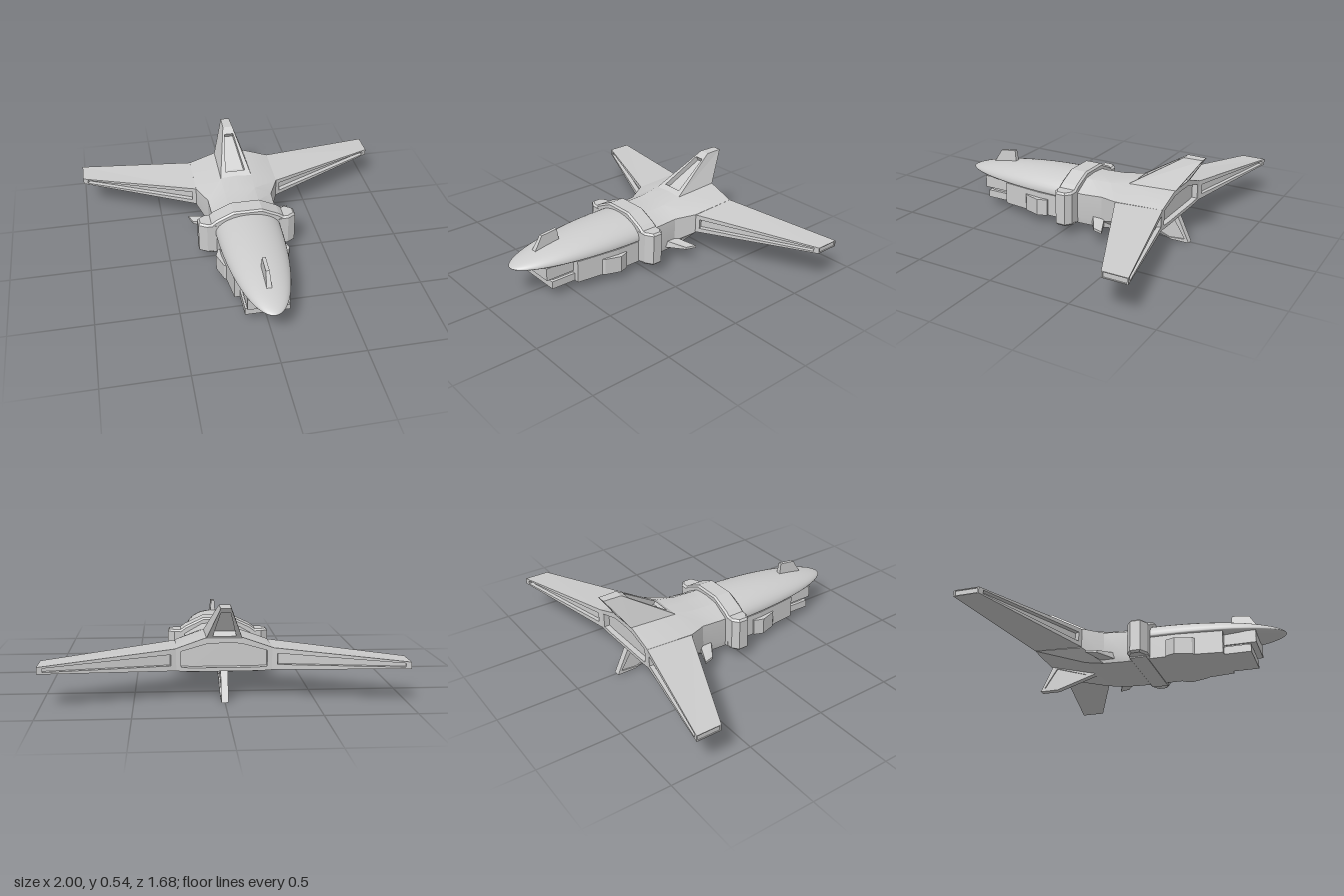
import * as THREE from 'three';
import { toCreasedNormals } from 'three/addons/utils/BufferGeometryUtils.js';
import { ParametricGeometry } from 'three/addons/geometries/ParametricGeometry.js';

const grey = new THREE.MeshStandardMaterial({ color: 0xcccccc, side: THREE.DoubleSide });
const V = (x, y, z) => new THREE.Vector3(x, y, z);

function add(parent, name, geometry) {
  const mesh = new THREE.Mesh(geometry, grey);
  mesh.name = name;
  parent.add(mesh);
  return mesh;
}

function fromTriangles(points) {
  const g = new THREE.BufferGeometry().setFromPoints(points);
  g.computeVertexNormals();
  return g;
}

// Six-sided solid between two quads. Face 0-3: sides, 4: first quad, 5: second quad.
// insets[face] = [u margin, v margin, depth] sinks a framed panel into that face.
function block(A, B, insets = {}) {
  A = A.map(p => V(...p));
  B = B.map(p => V(...p));
  const centre = [...A, ...B].reduce((s, p) => s.add(p), V(0, 0, 0)).divideScalar(8);
  const out = [];
  const quad = (a, b, c, d) => out.push(a, b, c, a, c, d);
  const faces = [0, 1, 2, 3].map(i => [A[i], A[(i + 1) % 4], B[(i + 1) % 4], B[i]]);
  faces.push(A, B);
  faces.forEach((q, f) => {
    let n = q[2].clone().sub(q[0]).cross(q[3].clone().sub(q[1])).normalize();
    const mid = q[0].clone().add(q[1]).add(q[2]).add(q[3]).divideScalar(4);
    const flip = n.dot(mid.sub(centre)) < 0;
    if (flip) n.negate();
    const put = (a, b, c, d) => flip ? quad(d, c, b, a) : quad(a, b, c, d);
    if (!insets[f]) return put(...q);
    const [u, v, depth] = insets[f];
    const at = (s, t) => q[0].clone().lerp(q[1], s).lerp(q[3].clone().lerp(q[2], s), t);
    const rim = [at(u, v), at(1 - u, v), at(1 - u, 1 - v), at(u, 1 - v)];
    const floor = rim.map(p => p.clone().addScaledVector(n, -depth));
    for (let i = 0; i < 4; i++) {
      const j = (i + 1) % 4;
      put(q[i], q[j], rim[j], rim[i]);
      put(rim[i], rim[j], floor[j], floor[i]);
    }
    put(...floor);
  });
  return fromTriangles(out);
}

// Box from its x, y and z ranges
function box(x0, x1, y0, y1, z0, z1) {
  const ring = z => [[x0, y0, z], [x1, y0, z], [x1, y1, z], [x0, y1, z]];
  return block(ring(z0), ring(z1));
}

// Mirrored loft: each section is [z, half outline from top centre to bottom centre], front to back
function loft(sections, crease = 0.4) {
  const rings = sections.map(([z, half]) => [
    ...half.map(([x, y]) => V(x, y, z)),
    ...half.slice(1, -1).reverse().map(([x, y]) => V(-x, y, z)),
  ]);
  const out = [], n = rings[0].length;
  for (let k = 0; k + 1 < rings.length; k++)
    for (let i = 0; i < n; i++) {
      const j = (i + 1) % n, [a, b, c, d] = [rings[k][i], rings[k][j], rings[k + 1][j], rings[k + 1][i]];
      out.push(a, b, c, a, c, d);
    }
  const first = rings[0], last = rings[rings.length - 1];
  for (let i = 1; i + 1 < n; i++) out.push(first[0], first[i + 1], first[i], last[0], last[i], last[i + 1]);
  return toCreasedNormals(fromTriangles(out), crease);
}

// Vertical prism from a plan outline of [x, z] points
function planPrism(outline, y0, y1, bevel = 0) {
  const shape = new THREE.Shape(outline.map(([x, z]) => new THREE.Vector2(x, -z)));
  const g = new THREE.ExtrudeGeometry(shape, {
    depth: y1 - y0 - 2 * bevel, bevelEnabled: bevel > 0, bevelSize: bevel,
    bevelThickness: bevel, bevelOffset: -bevel, bevelSegments: 1,
  });
  return g.rotateX(-Math.PI / 2).translate(0, y0 + bevel, 0);
}

export function createModel() {
  const model = new THREE.Group();
  model.name = 'aircraft';

  // Smooth nose: domed above, shallow below
  add(model, 'nose', new ParametricGeometry((u, v, target) => {
    const t = v * v, r = Math.sqrt(Math.max(0, 1 - (1 - t) ** 2)), a = u * Math.PI * 2;
    const s = Math.sin(a);
    const y = s > 0 ? 0.115 * r ** 1.4 * s : 0.04 * r * s;
    target.set(0.207 * r * Math.cos(a), 0.213 + y, 0.84 - 0.82 * t);
  }, 40, 24));

  // Blade on the nose
  add(model, 'noseBlade', block(
    [[-0.017, 0.25, 0.685], [0.017, 0.25, 0.685], [0.017, 0.27, 0.5], [-0.017, 0.27, 0.5]],
    [[-0.011, 0.354, 0.62], [0.011, 0.354, 0.62], [0.011, 0.366, 0.513], [-0.011, 0.366, 0.513]]));

  // Rear fuselage, flaring into the wing roots, with a hollow tail end
  const tail = [[0, 0.357], [0.105, 0.353], [0.27, 0.295], [0.27, 0.17], [0.2, 0.165], [0, 0.165]];
  const hollow = tail.map(([x, y]) => [x * 0.88, 0.24 + (y - 0.24) * 0.72]);
  add(model, 'rearFuselage', loft([
    [0, [[0, 0.33], [0.1, 0.32], [0.207, 0.255], [0.207, 0.1], [0.2, 0.06], [0, 0.06]]],
    [-0.12, [[0, 0.324], [0.1, 0.316], [0.207, 0.255], [0.207, 0.1], [0.2, 0.06], [0, 0.06]]],
    [-0.25, [[0, 0.328], [0.1, 0.322], [0.21, 0.265], [0.21, 0.11], [0.2, 0.065], [0, 0.065]]],
    [-0.37, [[0, 0.345], [0.105, 0.341], [0.27, 0.282], [0.27, 0.155], [0.2, 0.085], [0, 0.085]]],
    [-0.675, tail], [-0.675, hollow], [-0.64, hollow],
  ]));

  // Belly and stepped chin
  add(model, 'belly', planPrism([[-0.2, 0], [0.2, 0], [0.2, 0.2], [0.168, 0.48], [-0.168, 0.48], [-0.2, 0.2]], 0.06, 0.2));
  add(model, 'chinUpper', box(-0.125, 0.125, 0.122, 0.2, 0.45, 0.672));
  add(model, 'chinNeck', box(-0.115, 0.115, 0.1, 0.13, 0.45, 0.625));
  add(model, 'chinLower', box(-0.135, 0.135, 0.06, 0.108, 0.45, 0.642));

  // Collar arch behind the nose
  const half = [[0.09, 0.352], [0.2, 0.3], [0.24, 0.27], [0.24, 0.06]];
  const arch = new THREE.Shape([...half, ...half.map(([x, y]) => [-x, y]).reverse()].map(p => new THREE.Vector2(...p)));
  add(model, 'collarArch', new THREE.ExtrudeGeometry(arch, {
    depth: 0.1, bevelThickness: 0.011, bevelSize: 0.011, bevelOffset: -0.009, bevelSegments: 1,
  }).translate(0, 0, -0.07));

  for (const s of [1, -1]) {
    const side = s > 0 ? 'left' : 'right';
    const m = pts => pts.map(([x, ...rest]) => [x * s, ...rest]);

    // Collar side block and belly cheek
    const pod = [[0.2, 0.042], [0.26, 0.042], [0.31, 0.012], [0.31, -0.05], [0.27, -0.08], [0.2, -0.08]];
    add(model, side + 'CollarBlock', planPrism(m(pod), 0.065, 0.28, 0.012));
    add(model, side + 'Cheek', planPrism(m([[0.18, 0.32], [0.2, 0.3], [0.232, 0.2], [0.21, 0.14], [0.18, 0.14]]), 0.06, 0.165));

    // Swept wing with slotted leading and trailing edges
    add(model, side + 'Wing', block(
      m([[0.265, 0.16, -0.37], [0.265, 0.28, -0.37], [0.265, 0.295, -0.675], [0.265, 0.17, -0.675]]),
      m([[1, 0.205, -0.69], [1, 0.243, -0.69], [1, 0.243, -0.843], [1, 0.205, -0.843]]),
      { 0: [0.24, 0.04, 0.03], 2: [0.24, 0.04, 0.025], 5: [0.12, 0.06, 0.006] }));

    // Small side fin
    add(model, side + 'SmallFin', block(
      m([[0.19, 0.085, -0.17], [0.19, 0.13, -0.18], [0.19, 0.13, -0.26], [0.19, 0.085, -0.26]]),
      m([[0.315, 0.09, -0.255], [0.315, 0.105, -0.255], [0.335, 0.105, -0.32], [0.335, 0.09, -0.32]])));
  }

  // Upright tail fin with sunken front and rear panels
  add(model, 'tailFin', block(
    [[-0.105, 0.335, -0.365], [0.105, 0.335, -0.365], [0.105, 0.335, -0.665], [-0.105, 0.335, -0.665]],
    [[-0.032, 0.54, -0.69], [0.032, 0.54, -0.69], [0.028, 0.54, -0.805], [-0.028, 0.54, -0.805]],
    { 0: [0.16, 0.14, 0.035], 2: [0.16, 0.14, 0.04] }));

  // Lower tail fin with sunken side panels
  const keel = x => [[x, 0.085, -0.37], [x, 0.003, -0.625], [x, 0.003, -0.74], [x, 0.18, -0.655]];
  add(model, 'lowerFin', block(keel(0.02), keel(-0.02), { 4: [0.12, 0.12, 0.008], 5: [0.12, 0.12, 0.008] }));

  // Settle on the ground
  const bounds = new THREE.Box3().setFromObject(model);
  model.position.y = -bounds.min.y;
  return model;
}
